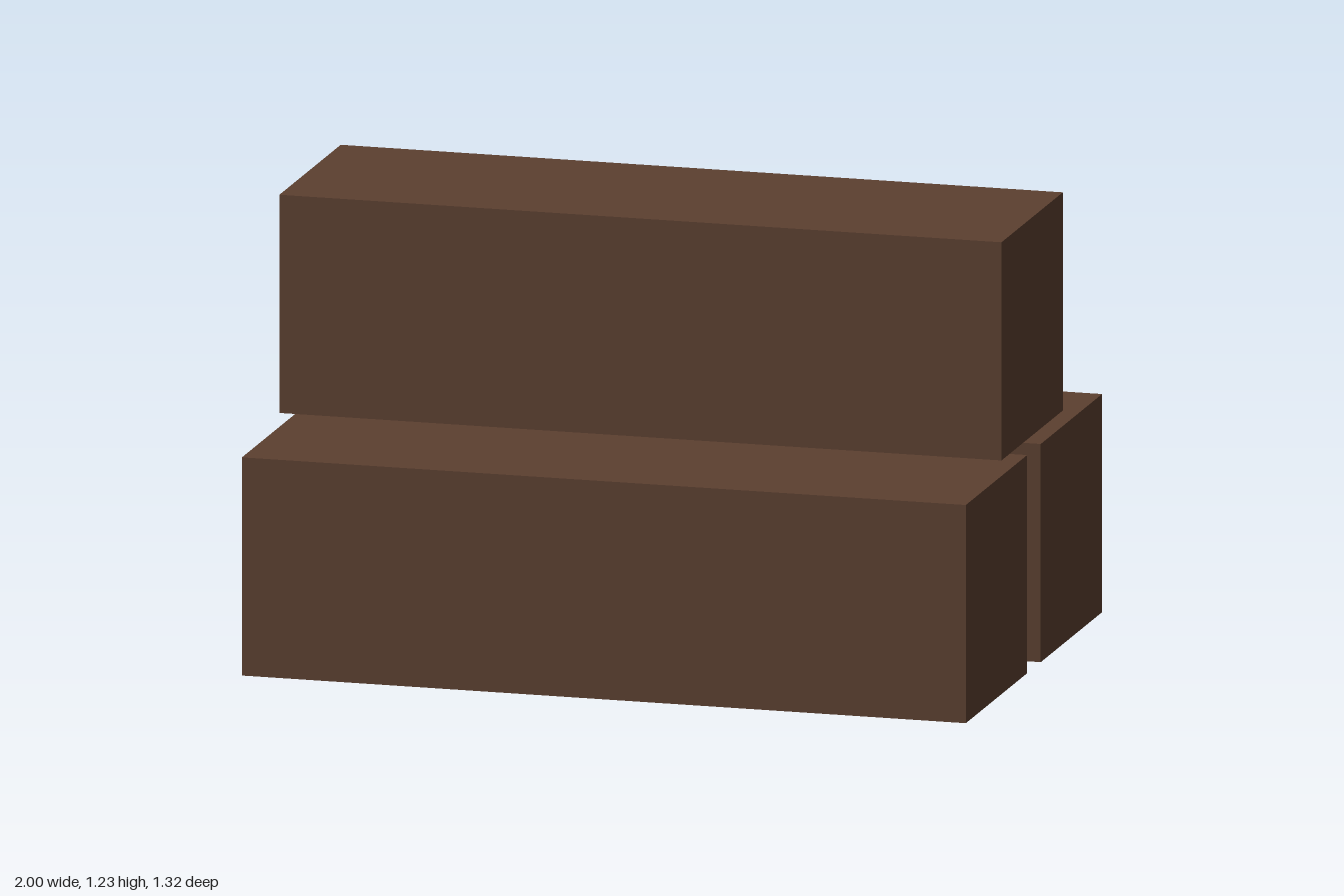
import * as THREE from 'three';

const SIDE = 0.596; // square section of every beam

export function createModel() {
  const group = new THREE.Group();
  const wood = new THREE.MeshStandardMaterial({ color: 0x5c4030, flatShading: true });

  // One square beam, starting at x = -1 and resting at height y
  function addBeam(name, length, y, z) {
    const beam = new THREE.Mesh(new THREE.BoxGeometry(length, SIDE, SIDE), wood);
    beam.name = name;
    beam.position.set(-1 + length / 2, y + SIDE / 2, z);
    group.add(beam);
  }

  // Two lower beams side by side with a gap
  addBeam('frontLowerBeam', 2, 0, 0.364);
  addBeam('backLowerBeam', 2, 0, -0.364);

  // Slightly shorter beam held just above them, over the gap
  addBeam('upperBeam', 1.995, 0.634, 0);

  return group;
}
